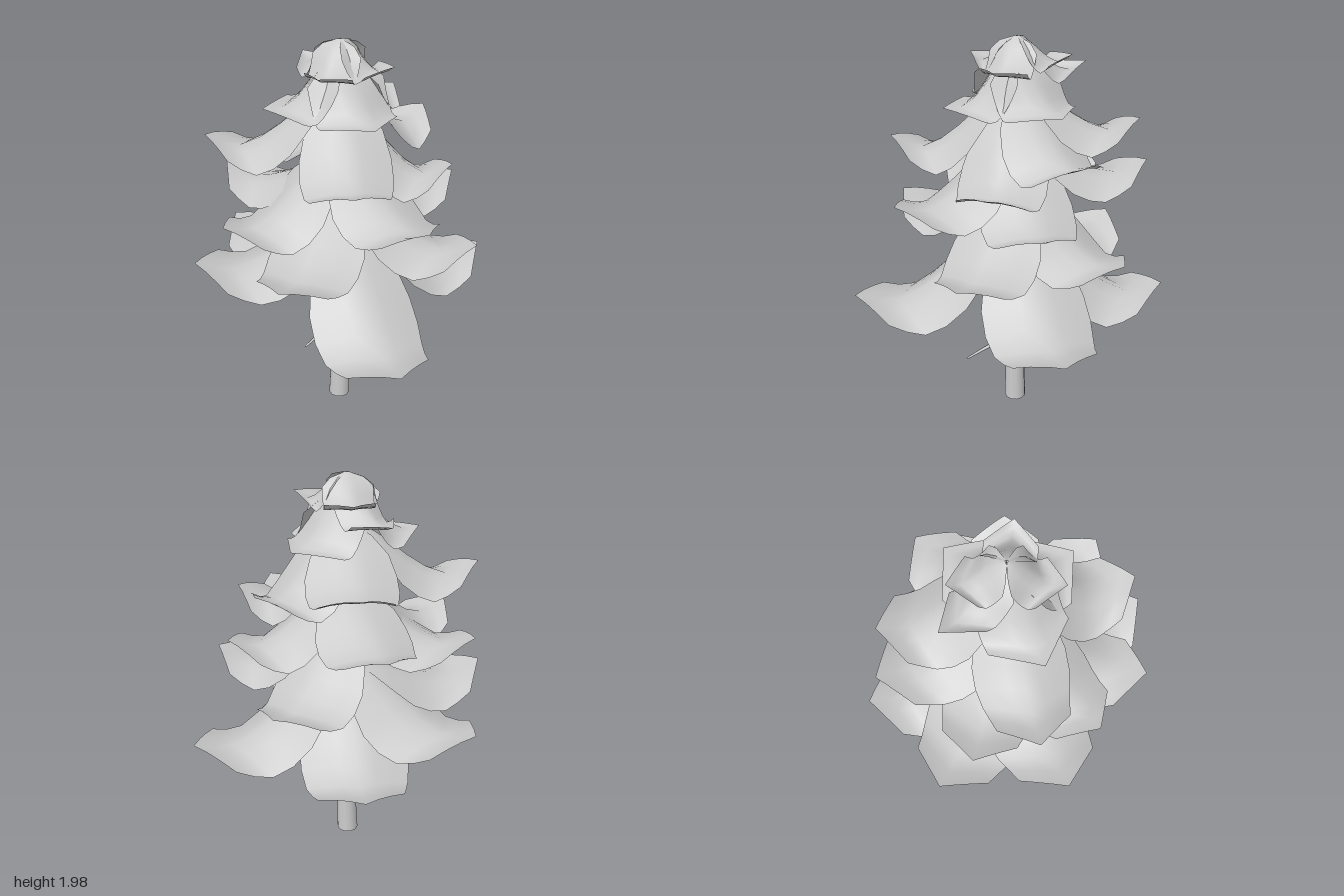
import * as THREE from 'three';

const V = (x, y, z) => new THREE.Vector3(x, y, z);

// Heights (1 = trunk, 0 = lowest) and half widths along a bough
const ROWS = [0.02, 0.15, 0.3, 0.45, 0.6, 0.75, 0.88, 1];
const FALL = [1, 0.9, 0.67, 0.4, 0.18, 0.04, 0, 0];
const WIDTH = [0.12, 0.66, 1.1, 1.29, 1.31, 1.22, 1.1, 1];
const COLS = [-1, -0.66, -0.33, 0, 0.33, 0.66, 1];

// One drooping sheet of foliage: arched across, turned up at a pointed tip
function boughGeometry(deg, length, top, tip, { half, bulge, sweep, lift, droop }) {
  const a = THREE.MathUtils.degToRad(deg);
  const dir = V(Math.cos(a), 0, Math.sin(a));
  const side = V(-Math.sin(a), 0, Math.cos(a));
  const pos = [], index = [], n = COLS.length;
  const low = tip - lift;
  ROWS.forEach((t, i) => {
    const rise = lift * Math.max(0, (t - 0.72) / 0.28) ** 1.3;
    for (const u of COLS) {
      const p = dir.clone().multiplyScalar(length * t * (1 - sweep * Math.abs(u)));
      p.addScaledVector(side, u * half * Math.min(WIDTH[i], bulge));
      p.y = low + (top - low) * FALL[i] + rise
        - droop * Math.abs(u) ** 1.5 * Math.min(1, 0.1 + t * 2);
      pos.push(p.x, p.y, p.z);
    }
  });
  for (let i = 0; i < ROWS.length - 1; i++) {
    for (let j = 0; j < n - 1; j++) {
      const k = i * n + j;
      index.push(k, k + 1, k + n, k + 1, k + n + 1, k + n);
    }
  }
  const g = new THREE.BufferGeometry();
  g.setAttribute('position', new THREE.Float32BufferAttribute(pos, 3));
  g.setIndex(index);
  g.computeVertexNormals();
  return g;
}

// Tube that narrows to a point along a curve
function twigGeometry(points, radius) {
  const curve = new THREE.CatmullRomCurve3(points);
  const steps = 8, sides = 6;
  const g = new THREE.TubeGeometry(curve, steps, radius, sides);
  const p = g.attributes.position;
  for (let i = 0; i <= steps; i++) {
    const c = curve.getPointAt(i / steps);
    for (let j = 0; j <= sides; j++) {
      const k = i * (sides + 1) + j;
      const v = V().fromBufferAttribute(p, k).sub(c).multiplyScalar(1 - 0.65 * i / steps).add(c);
      p.setXYZ(k, v.x, v.y, v.z);
    }
  }
  g.computeVertexNormals();
  return g;
}

// Boughs per tier: [angle from +x towards +z, length, tip height, root height if unlike its tier]
const TIERS = [
  { name: 'lowestTier', top: 1.06, half: 0.195, bulge: 1.4, sweep: 0.18, lift: 0.07, droop: 0.065, boughs: [
    [-37, 0.785, 0.78], [56, 0.805, 0.76], [-109, 0.72, 0.75], [-158.5, 0.71, 0.88, 1.08], [150.6, 0.71, 0.95, 1.08]] },
  { name: 'lowTier', top: 1.27, half: 0.17, bulge: 1.4, sweep: 0.18, lift: 0.065, droop: 0.06, boughs: [
    [97, 0.675, 1.1], [1, 0.66, 1.06], [-72, 0.62, 1.06], [-171.6, 0.617, 1.29, 1.4]] },
  { name: 'middleTier', top: 1.47, half: 0.165, bulge: 1.4, sweep: 0.18, lift: 0.065, droop: 0.06, boughs: [
    [38, 0.62, 1.31], [132, 0.61, 1.24], [-119, 0.62, 1.37], [-33, 0.57, 1.27]] },
  { name: 'highTier', top: 1.76, half: 0.155, bulge: 1.4, sweep: 0.18, lift: 0.07, droop: 0.06, boughs: [
    [162, 0.61, 1.55], [69, 0.58, 1.52], [-6, 0.51, 1.43, 1.68], [-108, 0.55, 1.62], [-55, 0.52, 1.55]] },
  { name: 'upperTier', top: 1.89, half: 0.18, bulge: 1, sweep: 0.42, lift: 0.01, droop: 0.02, boughs: [
    [-57, 0.33, 1.7], [50, 0.34, 1.69], [149, 0.35, 1.7]] },
  { name: 'crownTier', top: 1.98, half: 0.11, bulge: 1, sweep: 0.42, lift: 0.04, droop: 0.02, boughs: [
    [2.4, 0.24, 1.88], [97, 0.24, 1.88], [-109, 0.24, 1.9], [-136, 0.345, 1.83, 1.93]] },
];

// Bare twigs under the foliage: path points and radius
const TWIGS = [
  [[V(-0.01, 0.66, 0), V(-0.06, 0.62, -0.03), V(-0.16, 0.6, -0.06), V(-0.23, 0.585, -0.08), V(-0.3, 0.545, -0.1)], 0.013],
  [[V(-0.22, 0.588, -0.08), V(-0.26, 0.58, -0.06), V(-0.31, 0.565, -0.07)], 0.008],
  [[V(-0.16, 0.6, -0.06), V(-0.2, 0.62, -0.09), V(-0.24, 0.65, -0.1)], 0.008],
  [[V(0.02, 0.67, 0), V(0.06, 0.62, -0.04), V(0.11, 0.59, -0.09), V(0.17, 0.575, -0.13), V(0.24, 0.535, -0.18)], 0.016],
  [[V(0.12, 0.59, -0.09), V(0.18, 0.58, -0.09), V(0.25, 0.565, -0.12)], 0.009],
  [[V(0.09, 0.6, -0.07), V(0.12, 0.57, -0.1), V(0.15, 0.54, -0.1)], 0.008],
  [[V(0, 0.51, 0.02), V(-0.03, 0.47, 0.06), V(-0.08, 0.46, 0.13), V(-0.13, 0.43, 0.2)], 0.014],
  [[V(0.03, 0.44, 0.02), V(0.08, 0.395, 0.07), V(0.13, 0.375, 0.12), V(0.2, 0.33, 0.2)], 0.015],
];

export function createModel() {
  const model = new THREE.Group();
  model.name = 'pineTree';
  const mat = new THREE.MeshStandardMaterial({ color: 0xcccccc, side: THREE.DoubleSide });
  const add = (parent, geometry, name) => {
    const m = new THREE.Mesh(geometry, mat);
    m.name = name;
    parent.add(m);
  };

  // Hollow tapering trunk with a slight lean
  const profile = [[0.056, 0], [0.051, 0.2], [0.044, 0.48], [0.037, 0.75], [0.028, 1.2], [0.017, 1.7], [0.002, 1.98]];
  const trunk = new THREE.LatheGeometry(profile.map(([r, y]) => new THREE.Vector2(r, y)), 12);
  const p = trunk.attributes.position;
  for (let i = 0; i < p.count; i++) {
    const y = p.getY(i);
    p.setX(i, p.getX(i) - 0.003 + 0.012 * Math.sin(Math.min(1, y / 1.4) * Math.PI));
    p.setZ(i, p.getZ(i) + 0.015 * (1 - y / 2));
  }
  add(model, trunk, 'trunk');

  // Foliage, tier by tier
  for (const tier of TIERS) {
    const group = new THREE.Group();
    group.name = tier.name;
    for (const [deg, length, tip, top = tier.top] of tier.boughs) {
      add(group, boughGeometry(deg, length, top, tip, tier), 'bough');
    }
    model.add(group);
  }

  // Dead twigs on the bare trunk
  const twigs = new THREE.Group();
  twigs.name = 'twigs';
  for (const [points, radius] of TWIGS) add(twigs, twigGeometry(points, radius), 'twig');
  model.add(twigs);

  return model;
}
